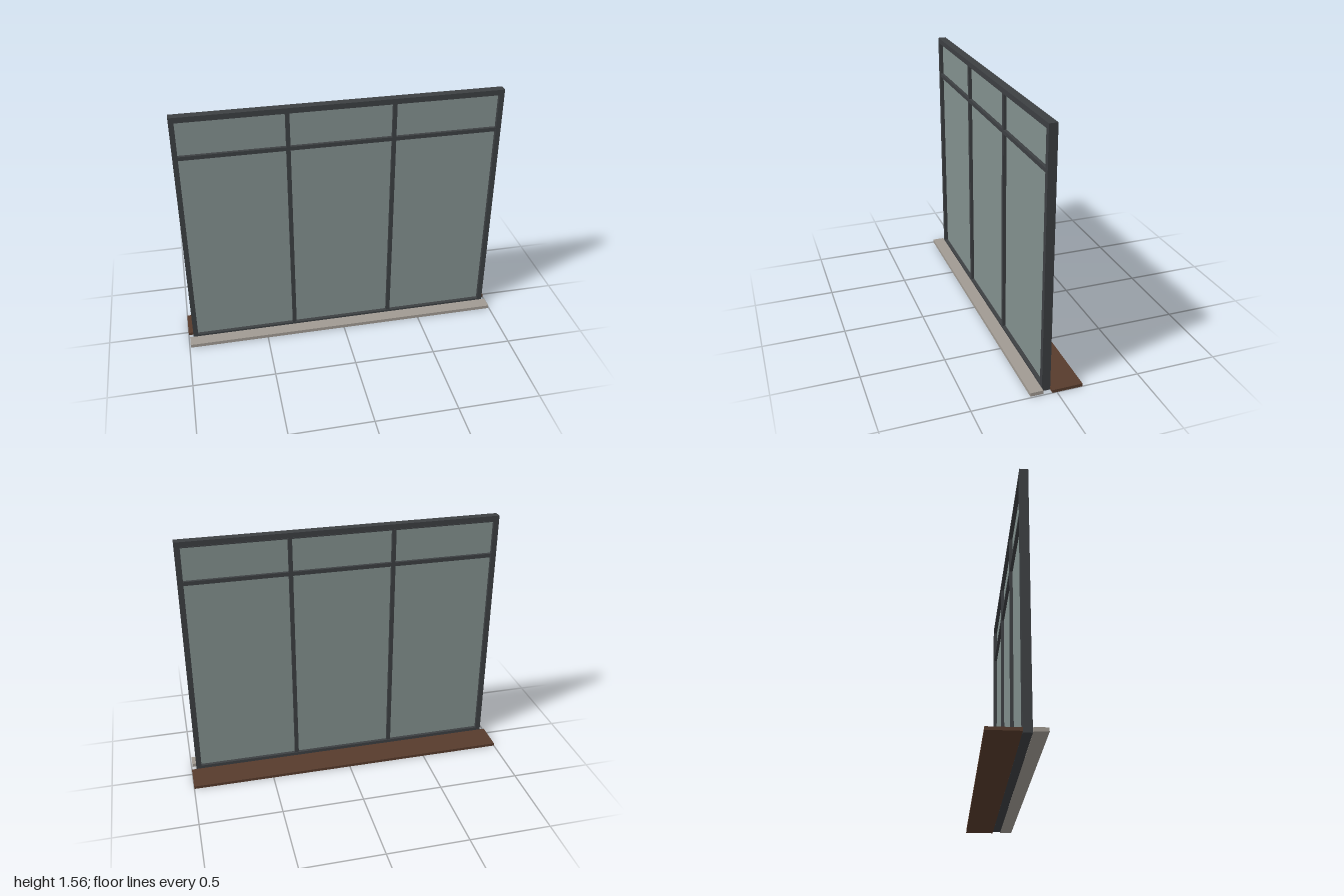
import * as THREE from 'three';

const mat = (color) => new THREE.MeshStandardMaterial({ color });

export function createModel() {
  const model = new THREE.Group();
  const metal = mat(0x3c3f42), glass = mat(0x82908e), stone = mat(0xa09a92), wood = mat(0x573b2c);

  // box given by its min and max corners
  const box = (name, material, [x0, y0, z0], [x1, y1, z1]) => {
    const mesh = new THREE.Mesh(new THREE.BoxGeometry(x1 - x0, y1 - y0, z1 - z0), material);
    mesh.position.set((x0 + x1) / 2, (y0 + y1) / 2, (z0 + z1) / 2);
    mesh.name = name;
    model.add(mesh);
  };
  const rect = (path, x, y0, y1) =>
    path.moveTo(-x, y0).lineTo(x, y0).lineTo(x, y1).lineTo(-x, y1).closePath();

  // rectangular ring with an opening
  const ring = (name, [x, y0, y1], [ix, iy0, iy1], z0, z1) => {
    const shape = rect(new THREE.Shape(), x, y0, y1);
    shape.holes.push(rect(new THREE.Path(), ix, iy0, iy1));
    const geo = new THREE.ExtrudeGeometry(shape, { depth: z1 - z0, bevelEnabled: false });
    const mesh = new THREE.Mesh(geo.translate(0, 0, z0), metal);
    mesh.name = name;
    model.add(mesh);
  };

  // outer frame and the slim glazing bead on its inner side
  ring('outerFrame', [0.97, 0.003, 1.56], [0.94, 0.036, 1.527], 0.028, 0.078);
  ring('glazingBead', [0.943, 0.033, 1.53], [0.937, 0.039, 1.524], 0.026, 0.034);

  // mullions and transom
  const bays = [-0.94, -0.313, 0.313, 0.94];
  const bar = 0.012, transomY = 1.305;
  for (const x of bays.slice(1, 3)) {
    box('mullion', metal, [x - bar, 0.036, 0.031], [x + bar, 1.527, 0.075]);
  }
  for (let i = 0; i < 3; i++) {
    const x0 = bays[i] + (i > 0 ? bar : 0), x1 = bays[i + 1] - (i < 2 ? bar : 0);
    box('transom', metal, [x0, transomY - bar, 0.031], [x1, transomY + bar, 0.075]);
    // panes
    box('lowerPane', glass, [x0, 0.036, 0.05], [x1, transomY - bar, 0.056]);
    box('upperPane', glass, [x0, transomY + bar, 0.05], [x1, 1.527, 0.056]);
  }

  // sills
  box('outerSill', stone, [-0.993, 0.002, 0.078], [0.993, 0.024, 0.155]);
  box('innerSill', wood, [-1, 0, -0.155], [1, 0.018, 0.027]);
  return model;
}
